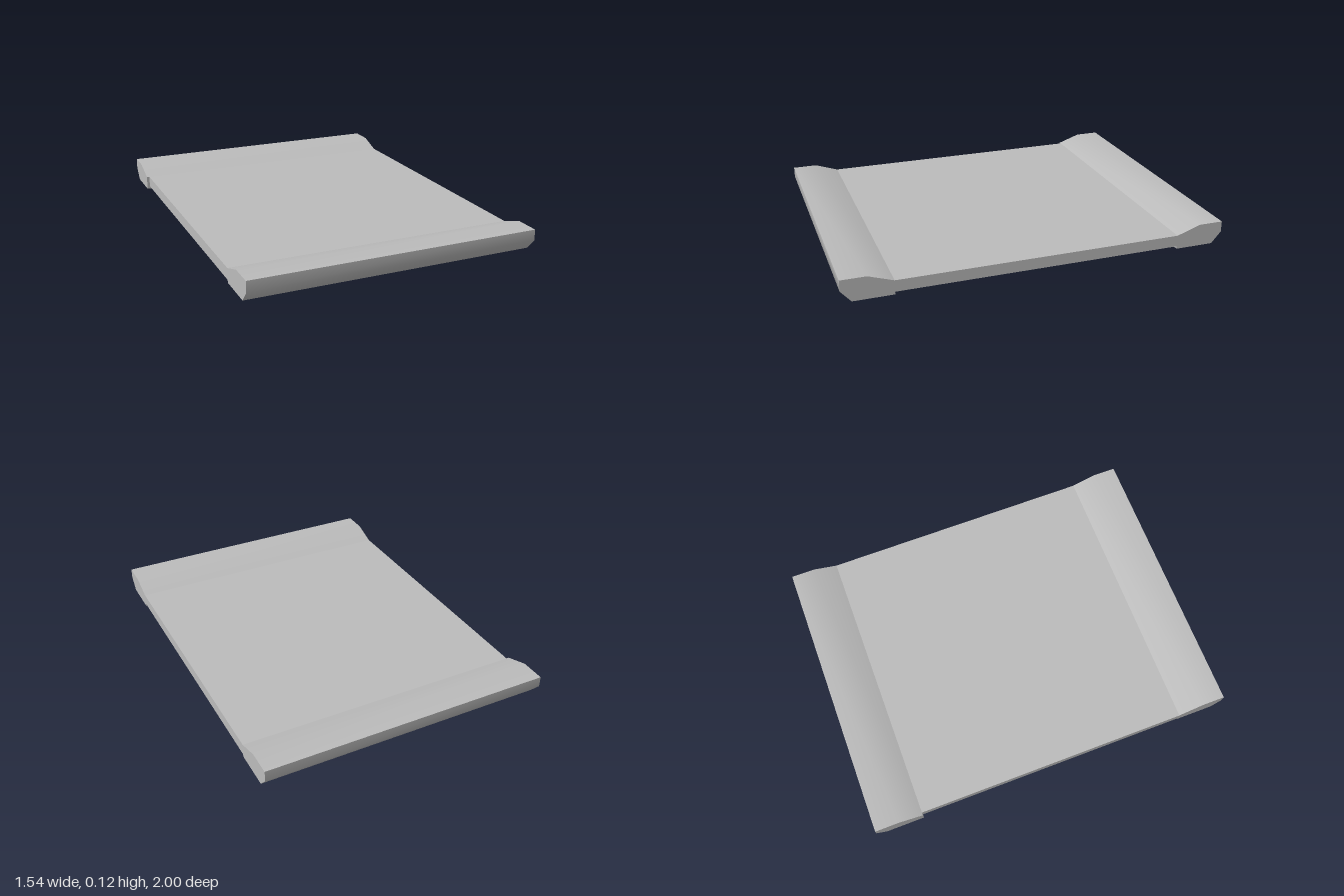
import * as THREE from 'three';
import { toCreasedNormals } from 'three/addons/utils/BufferGeometryUtils.js';

export function createModel() {
  const group = new THREE.Group();
  const grey = new THREE.MeshStandardMaterial({ color: 0xbcbcbc });
  grey.name = 'plain grey';

  const left = 0.768; // shared flush side

  // Extrudes a (z, y) profile across the width, from the flush side to x = right
  function addPart(name, profile, right) {
    const shape = new THREE.Shape(profile.map(([z, y]) => new THREE.Vector2(z, y)));
    const solid = new THREE.ExtrudeGeometry(shape, { depth: left - right, bevelEnabled: false });
    solid.rotateY(-Math.PI / 2);
    solid.translate(left, 0, 0);
    // Softens the ramp and the outer nose, keeps the other edges sharp
    const mesh = new THREE.Mesh(toCreasedNormals(solid, Math.PI / 4), grey);
    mesh.name = name;
    group.add(mesh);
  }

  // Raised end: ramp, flat top, upright nose and undercut
  const endProfile = [
    [0.743, 0], [0.948, 0], [1, 0.06], [1, 0.117], [0.87, 0.117], [0.743, 0.074],
  ];
  addPart('frontEnd', endProfile, -0.757);
  addPart('backEnd', endProfile.map(([z, y]) => [-z, y]), -0.772);

  // Flat slab between the ends
  addPart('slab', [[-0.743, 0.014], [0.743, 0.014], [0.743, 0.074], [-0.743, 0.074]], -0.757);

  return group;
}
